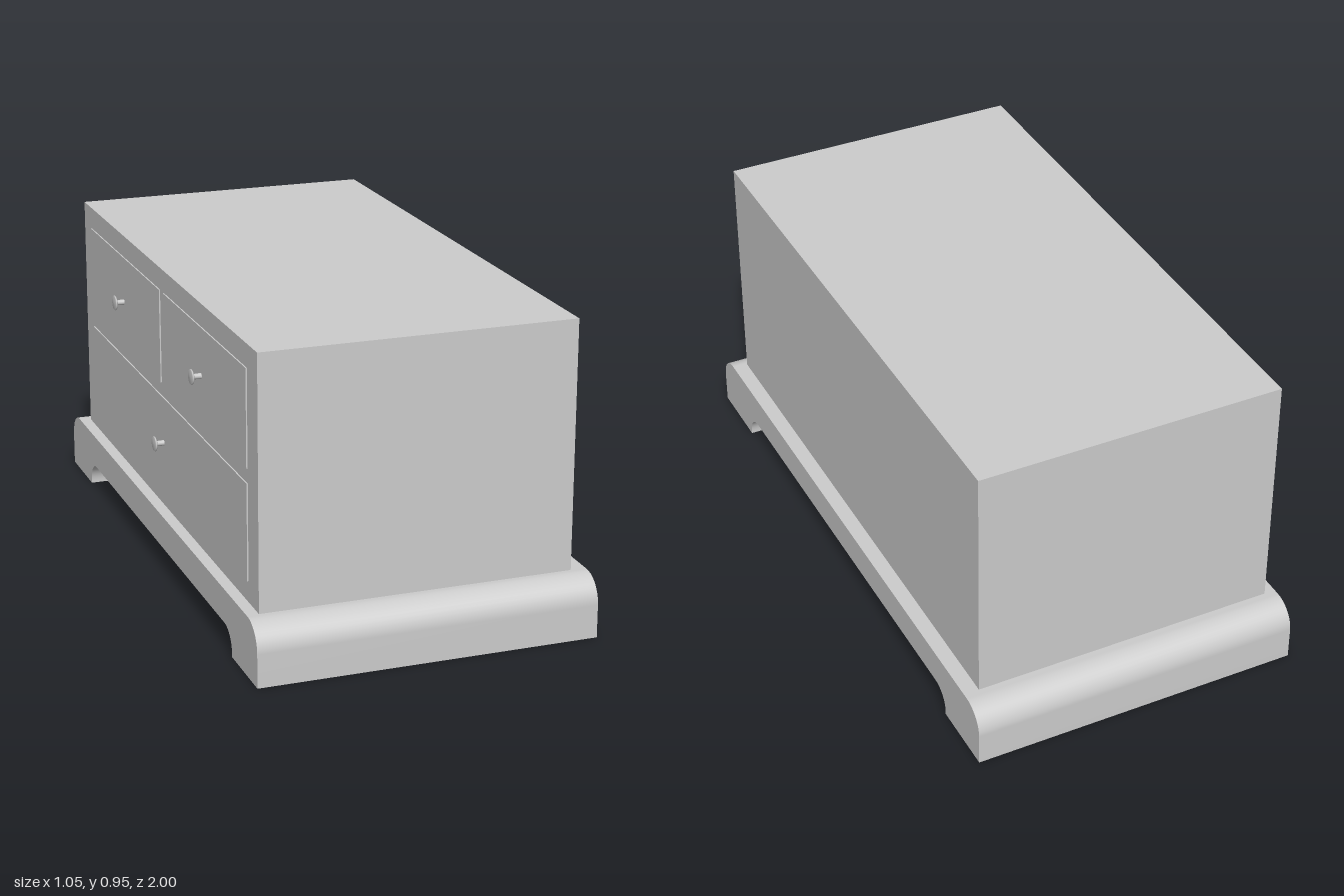
import * as THREE from 'three';

const material = new THREE.MeshStandardMaterial({ color: 0xcccccc });
const thin = new THREE.MeshStandardMaterial({ color: 0xcccccc, side: THREE.DoubleSide });
const HALF = 0.525; // half depth of the plinth along x

function box(name, x0, x1, y0, y1, z0, z1) {
  const mesh = new THREE.Mesh(new THREE.BoxGeometry(x1 - x0, y1 - y0, z1 - z0), material);
  mesh.position.set((x0 + x1) / 2, (y0 + y1) / 2, (z0 + z1) / 2);
  mesh.name = name;
  return mesh;
}

// Sweeps an open (z, y) profile across the depth of the plinth
function sweep(name, points) {
  const pos = [], idx = [];
  points.forEach((p, i) => {
    pos.push(-HALF, p.y, p.x, HALF, p.y, p.x);
    const a = i * 2;
    if (i) idx.push(a - 2, a, a - 1, a - 1, a, a + 1);
  });
  const g = new THREE.BufferGeometry();
  g.setAttribute('position', new THREE.Float32BufferAttribute(pos, 3));
  g.setIndex(idx);
  g.computeVertexNormals();
  const mesh = new THREE.Mesh(g, thin);
  mesh.name = name;
  return mesh;
}

// Foot-to-foot arc profile: vertical sides, rounded upper corners
function archPoints(w, h, r) {
  const pts = [new THREE.Vector2(-w, 0)];
  for (const s of [-1, 1]) {
    for (let i = 0; i <= 10; i++) {
      const a = (s < 0 ? Math.PI : Math.PI / 2) - (i / 10) * Math.PI / 2;
      pts.push(new THREE.Vector2(s * (w - r) + r * Math.cos(a), h - r + r * Math.sin(a)));
    }
  }
  pts.push(new THREE.Vector2(w, 0));
  return pts;
}

function makePlinth() {
  const plinth = new THREE.Group();
  plinth.name = 'plinth';
  const outer = archPoints(1, 0.185, 0.082);
  const inner = archPoints(0.772, 0.08, 0.07).reverse();
  // Hollow feet: outer skin and arch are separate, with no soles
  plinth.add(sweep('plinthShell', outer), sweep('plinthArch', inner));
  const outline = new THREE.Shape([...outer, ...inner]);
  for (const s of [-1, 1]) {
    const side = new THREE.Mesh(new THREE.ShapeGeometry(outline), thin);
    side.rotation.y = s * Math.PI / 2;
    side.position.x = s * HALF;
    side.name = s < 0 ? 'plinthDrawerSide' : 'plinthPlainSide';
    plinth.add(side);
  }
  return plinth;
}

function makeKnob(y, z) {
  const profile = [[0.009, 0], [0.008, 0.024], [0.013, 0.026], [0.022, 0.029], [0.024, 0.032], [0.022, 0.035], [0, 0.036]]
    .map(([r, h]) => new THREE.Vector2(r, h));
  const knob = new THREE.Mesh(new THREE.LatheGeometry(profile, 20), material);
  knob.rotation.z = Math.PI / 2;
  knob.position.set(-0.491, y, z);
  knob.name = 'knob';
  return knob;
}

export function createModel() {
  const model = new THREE.Group();
  model.name = 'chestOfDrawers';
  model.add(makePlinth());
  model.add(box('cabinet', -0.489, 0.477, 0.185, 0.955, -0.9, 0.91));

  // Drawers: name, y range, z range, knob z
  const drawers = [
    ['topDrawerA', 0.588, 0.885, -0.81, -0.017, -0.42],
    ['topDrawerB', 0.588, 0.885, 0.025, 0.82, 0.405],
    ['bottomDrawer', 0.25, 0.545, -0.81, 0.82, 0.005],
  ];
  for (const [name, y0, y1, z0, z1, kz] of drawers) {
    const drawer = new THREE.Group();
    drawer.name = name;
    drawer.add(box('drawerFront', -0.493, -0.48, y0, y1, z0, z1));
    drawer.add(makeKnob((y0 + y1) / 2, kz));
    model.add(drawer);
  }
  return model;
}
